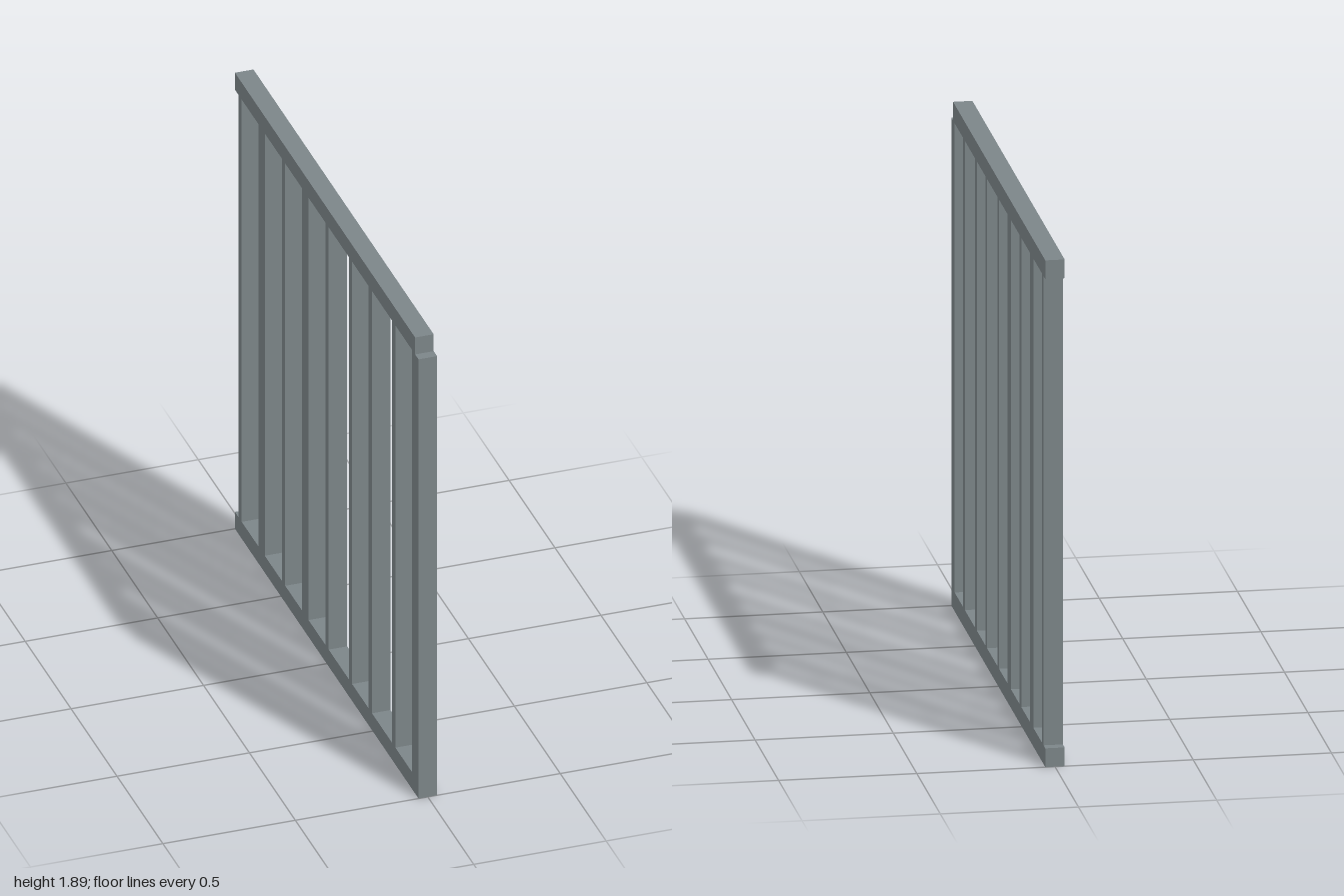
import * as THREE from 'three';

export function createModel() {
  const model = new THREE.Group();
  model.name = 'barredPanel';
  const steel = new THREE.MeshStandardMaterial({ color: 0x7c8588 });
  steel.name = 'grey steel';

  const DEPTH = 0.07, RAIL = 0.07, TOP = 1.82;

  // Box spanning y0..y1 and z0..z1 at the full depth of the panel
  function beam(name, y0, y1, z0, z1) {
    const mesh = new THREE.Mesh(new THREE.BoxGeometry(DEPTH, y1 - y0, z1 - z0), steel);
    mesh.name = name;
    mesh.position.set(0, (y0 + y1) / 2, (z0 + z1) / 2);
    model.add(mesh);
  }

  // Rails; the top one stops short of the front edge
  beam('bottomRail', 0, RAIL, -1, 1);
  beam('topRail', TOP, TOP + RAIL, -1, 0.963);

  // Uprights: [name, centre z, width]
  const THIN = 0.036, WIDE = 0.07;
  const uprights = [
    ['frontPost', 0.965, WIDE],
    ['bar1', 0.73, THIN],
    ['bar2', 0.475, THIN],
    ['bar3', 0.258, THIN],
    ['bar4', 0.003, THIN],
    ['wideBar1', -0.233, WIDE],
    ['bar5', -0.47, THIN],
    ['wideBar2', -0.71, WIDE],
    ['bar6', -0.944, THIN],
  ];
  for (const [name, z, w] of uprights) beam(name, RAIL, TOP, z - w / 2, z + w / 2);

  return model;
}
